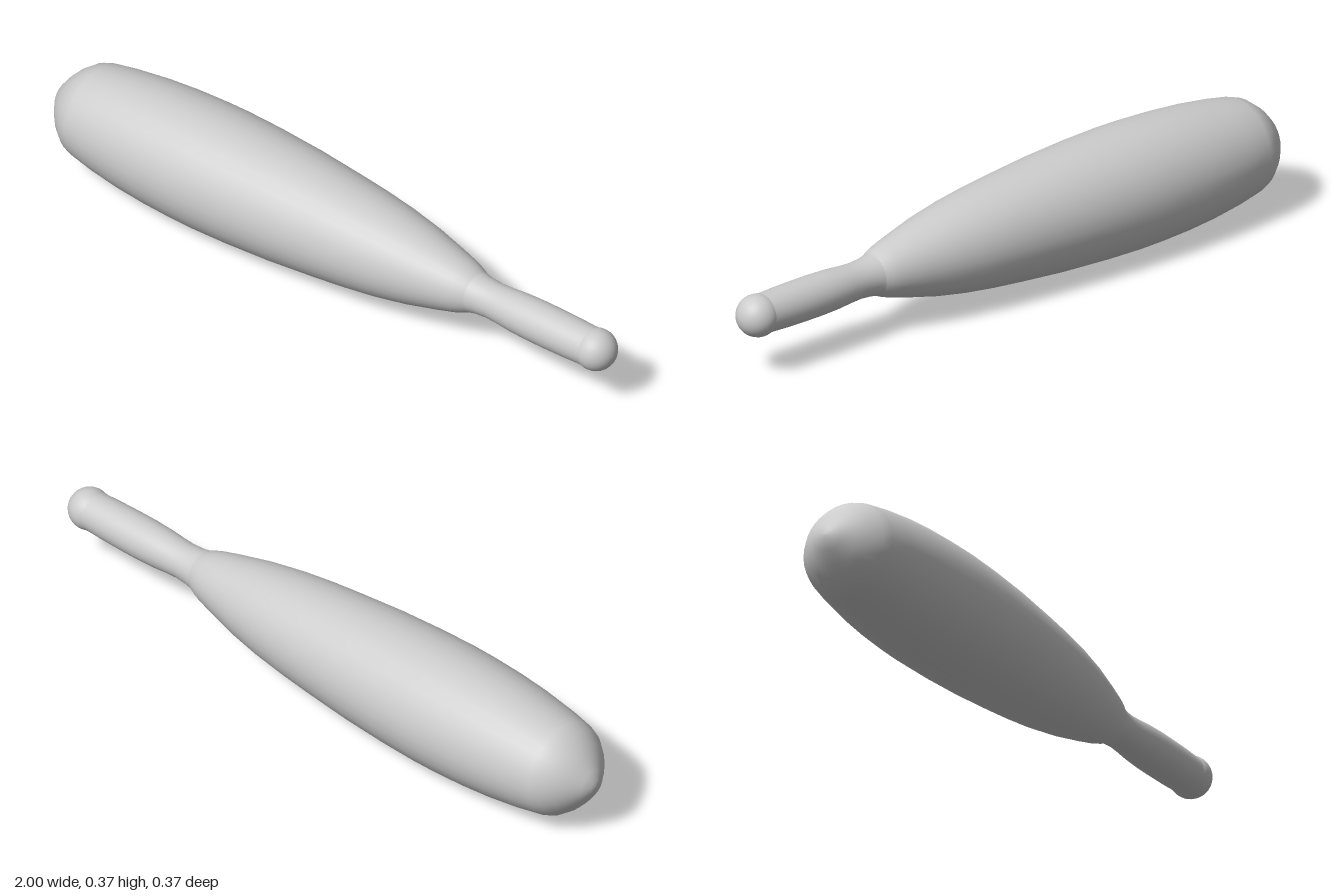
import * as THREE from 'three';

const AXIS_HEIGHT = 0.186;

// Turned part lying along x; profile is [x, radius] from the -x end to the +x end
function turned(name, profile, sides) {
  const geometry = new THREE.LatheGeometry(profile.map(([x, r]) => new THREE.Vector2(r, x)), sides);
  geometry.rotateZ(-Math.PI / 2);
  const mesh = new THREE.Mesh(geometry, new THREE.MeshStandardMaterial({ color: 0xcccccc, side: THREE.DoubleSide }));
  mesh.name = name;
  mesh.position.y = AXIS_HEIGHT;
  return mesh;
}

export function createModel() {
  const group = new THREE.Group();
  group.name = 'club';

  // Heavy swelling body with a blunt rounded end, tapering to the neck
  group.add(turned('body', [
    [-1, 0], [-0.998, 0.02], [-0.985, 0.045], [-0.96, 0.08], [-0.935, 0.108], [-0.9, 0.135],
    [-0.87, 0.146], [-0.8, 0.159], [-0.7, 0.172], [-0.6, 0.18], [-0.5, 0.184], [-0.42, 0.185],
    [-0.3, 0.182], [-0.15, 0.174], [0, 0.161], [0.1, 0.151], [0.2, 0.138], [0.3, 0.12],
    [0.4, 0.096], [0.46, 0.08], [0.485, 0.071], [0.505, 0.062],
  ], 32));

  // Slim grip with a gentle swell, narrowing just before the knob
  group.add(turned('handle', [
    [0.505, 0.062], [0.53, 0.057], [0.57, 0.054], [0.61, 0.056], [0.66, 0.06], [0.72, 0.062],
    [0.78, 0.062], [0.85, 0.061], [0.9, 0.059], [0.93, 0.059],
  ], 32));

  // Ball at the end of the grip
  const ball = [];
  for (let i = 0; i <= 12; i++) {
    const a = Math.PI * (0.35 + 0.65 * i / 12);
    ball.push([0.937 - 0.063 * Math.cos(a), i === 12 ? 0 : 0.063 * Math.sin(a)]);
  }
  group.add(turned('knob', ball, 32));
  return group;
}
